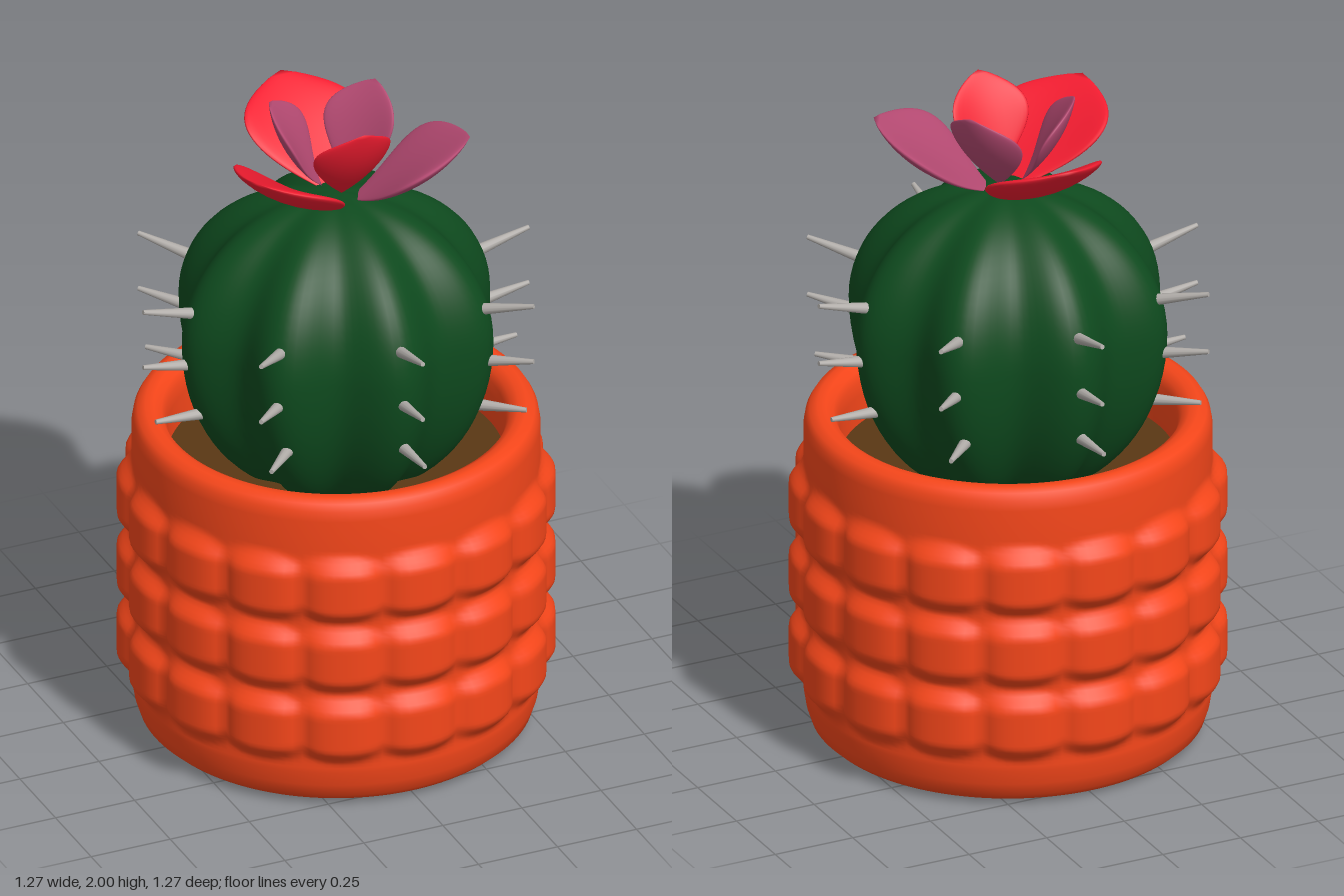
import * as THREE from 'three';
import { mergeVertices } from 'three/addons/utils/BufferGeometryUtils.js';

const ORANGE = 0xf5461a, SOIL = 0x5a3814, GREEN = 0x0e4a1e, RED = 0xf21c30, PINK = 0xb54a72;
const SPIKE = 0xb0aca8;

function part(name, geometry, color) {
  const mesh = new THREE.Mesh(geometry, new THREE.MeshStandardMaterial({ color }));
  mesh.name = name;
  return mesh;
}

// Moves every vertex by a rule, then welds seams and smooths the normals
function shaped(geometry, rule) {
  const pos = geometry.attributes.position, uv = geometry.attributes.uv;
  const v = new THREE.Vector3();
  for (let i = 0; i < pos.count; i++) {
    v.fromBufferAttribute(pos, i);
    rule(v, uv.getX(i), uv.getY(i));
    pos.setXYZ(i, v.x, v.y, v.z);
  }
  geometry.deleteAttribute('uv');
  geometry.deleteAttribute('normal');
  const welded = mergeVertices(geometry, 1e-4);
  welded.computeVertexNormals();
  return welded;
}

// Pot: turned profile with three bands of sixteen raised tiles
function makePot() {
  const profile = [[0, 0.045], [0.2, 0.045], [0.25, 0.04], [0.28, 0.025], [0.31, 0.005], [0.34, 0],
    [0.5, 0], [0.545, 0.012], [0.57, 0.035], [0.583, 0.075], [0.59, 0.12]];
  for (let y = 0.135; y < 0.86; y += 0.012) profile.push([0.59, y]);
  profile.push([0.59, 0.95], [0.585, 0.98], [0.573, 1.0], [0.55, 1.01], [0.525, 1.008],
    [0.503, 0.995], [0.491, 0.97], [0.487, 0.93], [0.487, 0.8]);
  const geo = new THREE.LatheGeometry(profile.map(p => new THREE.Vector2(...p)), 160);
  return part('pot', shaped(geo, v => {
    const r = Math.hypot(v.x, v.z);
    if (r < 0.589 || v.y < 0.13 || v.y > 0.87) return;
    const turn = Math.atan2(v.x, v.z) / (Math.PI / 8);
    const s = Math.abs(turn - Math.round(turn)) * 2;
    const reach = 0.122 * (1 - 0.2 * s * s);
    let rise = 0;
    for (const centre of [0.265, 0.495, 0.725]) {
      const d = Math.abs(v.y - centre) / reach;
      rise = Math.max(rise, 1 - THREE.MathUtils.smoothstep(d, 0.45, 1));
    }
    const k = (r + 0.043 * rise * (1 - 0.75 * s ** 3)) / r;
    v.x *= k;
    v.z *= k;
  }), ORANGE);
}

// Cactus body: squashed ball with eight soft ribs
function makeBody() {
  const profile = [];
  for (let i = 0; i <= 40; i++) {
    const a = -Math.PI / 2 + Math.PI * i / 40;
    profile.push(new THREE.Vector2(Math.max(0, 0.48 * Math.cos(a)), 1.3 + Math.sin(a) * (a > 0 ? 0.415 : 0.56)));
  }
  return part('cactusBody', shaped(new THREE.LatheGeometry(profile, 128), v => {
    const k = 0.925 + 0.075 * Math.cos(8 * Math.atan2(v.x, v.z));
    v.x *= k;
    v.z *= k;
  }), GREEN);
}

// Spikes: three rows on each rib
function makeSpikes() {
  const spikes = new THREE.Group();
  spikes.name = 'spikes';
  const rows = [ // inner radius, inner height, outer radius, outer height, twist
    [0.41, 1.405, 0.61, 1.455, 0], [0.43, 1.242, 0.61, 1.272, 0], [0.40, 1.085, 0.58, 1.095, 0.035]];
  for (const [r0, y0, r1, y1, twist] of rows) {
    const length = Math.hypot(r1 - r0, y1 - y0);
    const geo = new THREE.CylinderGeometry(0.007, 0.02, length, 12);
    geo.rotateX(Math.PI / 2 - Math.atan2(y1 - y0, r1 - r0));
    geo.translate(0, (y0 + y1) / 2, (r0 + r1) / 2);
    for (let i = 0; i < 8; i++) {
      const spike = part('spike', geo, SPIKE);
      spike.rotation.y = i * Math.PI / 4 + twist;
      spikes.add(spike);
    }
  }
  return spikes;
}

// Petal: leaf-shaped pad, cupped towards the flower's centre
function petalGeometry(length, halfWidth, thickness, cup, tilt, radius, height) {
  const geo = shaped(new THREE.SphereGeometry(1, 32, 24), (v, u, t) => {
    const a = u * Math.PI * 2;
    const f = Math.max(0, Math.sin(Math.PI * t ** 1.3)) ** 0.8;
    const x = Math.cos(a) * f;
    v.set(-x * halfWidth, t * length,
      Math.sin(a) * thickness * f - cup * x * x - 0.1 * length * (t * t - t));
  });
  geo.rotateX(Math.PI / 2 - tilt);
  geo.translate(0, height, radius);
  return geo;
}

function makeFlower() {
  const flower = new THREE.Group();
  flower.name = 'flower';
  const outer = petalGeometry(0.42, 0.18, 0.024, 0.035, 0.57, 0.035, 1.69);
  const inner = petalGeometry(0.31, 0.12, 0.018, 0.03, 1.05, 0.04, 1.73);
  const third = Math.PI * 2 / 3;
  [RED, PINK, RED].forEach((color, i) => {
    const petal = part('outerPetal', outer, color);
    petal.rotation.y = Math.PI + i * -third;
    // back is red, +x side pink, -x side red
    flower.add(petal);
  });
  [RED, PINK, PINK].forEach((color, i) => {
    const petal = part('innerPetal', inner, color);
    petal.rotation.y = i * third;
    flower.add(petal);
  });
  return flower;
}

export function createModel() {
  const model = new THREE.Group();
  model.name = 'pottedCactus';
  const soil = part('soil', new THREE.CylinderGeometry(0.5, 0.5, 0.04, 64), SOIL);
  soil.position.y = 0.82;
  model.add(makePot(), soil, makeBody(), makeSpikes(), makeFlower());
  return model;
}
